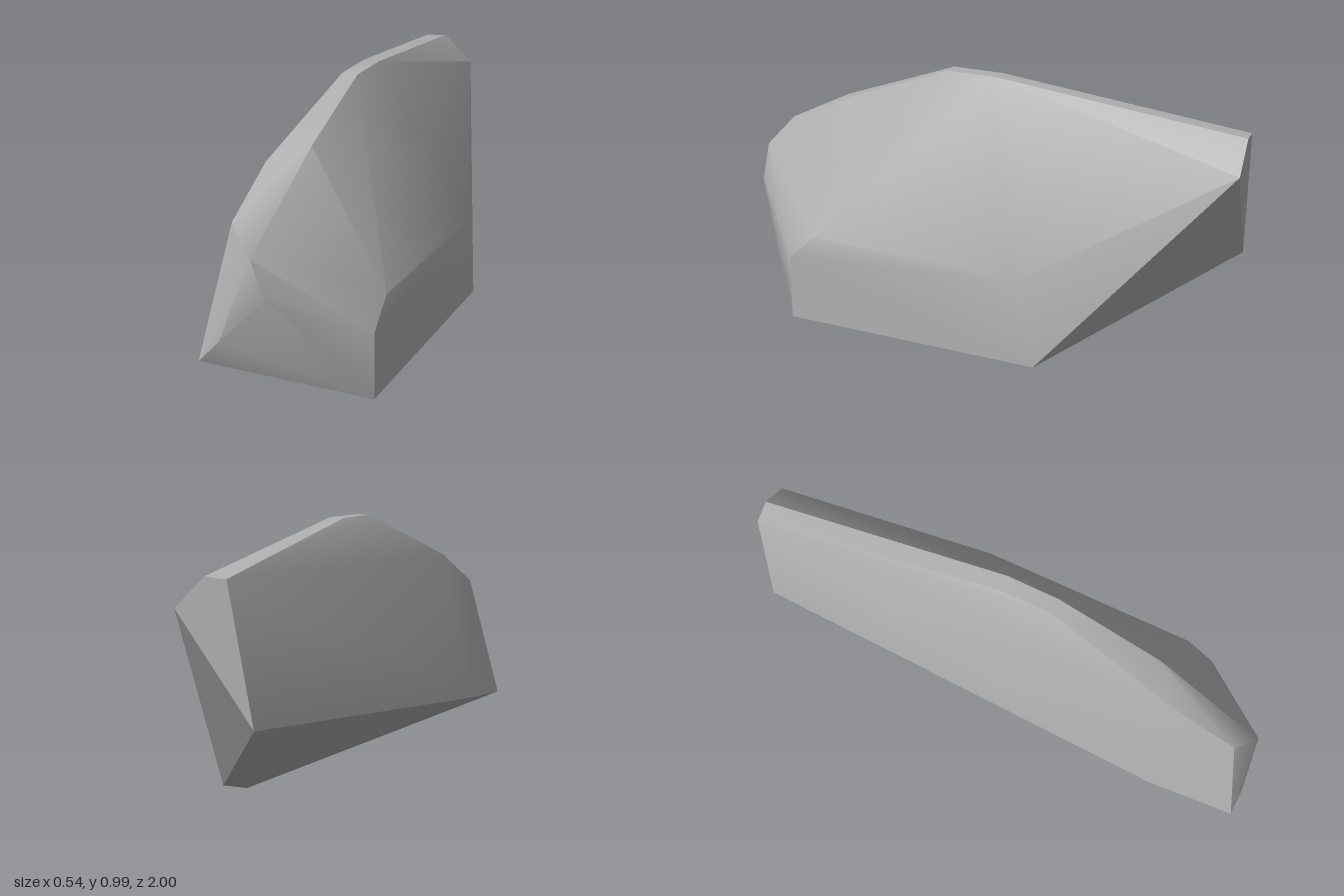
import * as THREE from 'three';
import { ConvexGeometry } from 'three/addons/geometries/ConvexGeometry.js';
import { toCreasedNormals } from 'three/addons/utils/BufferGeometryUtils.js';

export function createModel() {
  const stoneGrey = new THREE.MeshStandardMaterial({ color: 0xb0b0b0 });
  stoneGrey.name = 'stoneGrey';

  // narrow ridge along the top, from the back to the front
  const ridge = [
    [-0.18, 0.86, -0.98], [-0.10, 0.865, -0.99],
    [-0.08, 0.99, -0.05], [-0.02, 0.99, -0.05],
    [-0.08, 0.99, 0.15], [-0.02, 0.99, 0.15],
    [-0.145, 0.80, 0.65], [-0.02, 0.84, 0.55],
  ];
  // chipped front end
  const frontEnd = [
    [-0.145, 0.67, 0.91], [-0.05, 0.575, 0.975], [0, 0.44, 0.975],
    [-0.16, 0.275, 1], [-0.24, 0.19, 1],
  ];
  // upright flat face on the +x side
  const flatSide = [
    [0.27, 0, 0.69], [0.27, 0.25, 0.69], [0.27, 0.35, 0.58],
    [0.27, 0.33, -0.27], [0.27, 0, -0.34],
  ];
  // back end and underside
  const underside = [
    [0.01, 0.757, -1], [-0.26, 0.37, -0.95],
    [0.17, 0, -0.33], [-0.272, 0.22, 0.67],
  ];

  const corners = [...ridge, ...frontEnd, ...flatSide, ...underside]
    .map((p) => new THREE.Vector3(...p));

  // strong edges stay sharp, shallow bends are smooth
  const geometry = toCreasedNormals(new ConvexGeometry(corners), THREE.MathUtils.degToRad(32));
  const stone = new THREE.Mesh(geometry, stoneGrey);
  stone.name = 'stone';

  const model = new THREE.Group();
  model.name = 'facetedStone';
  model.add(stone);
  return model;
}
